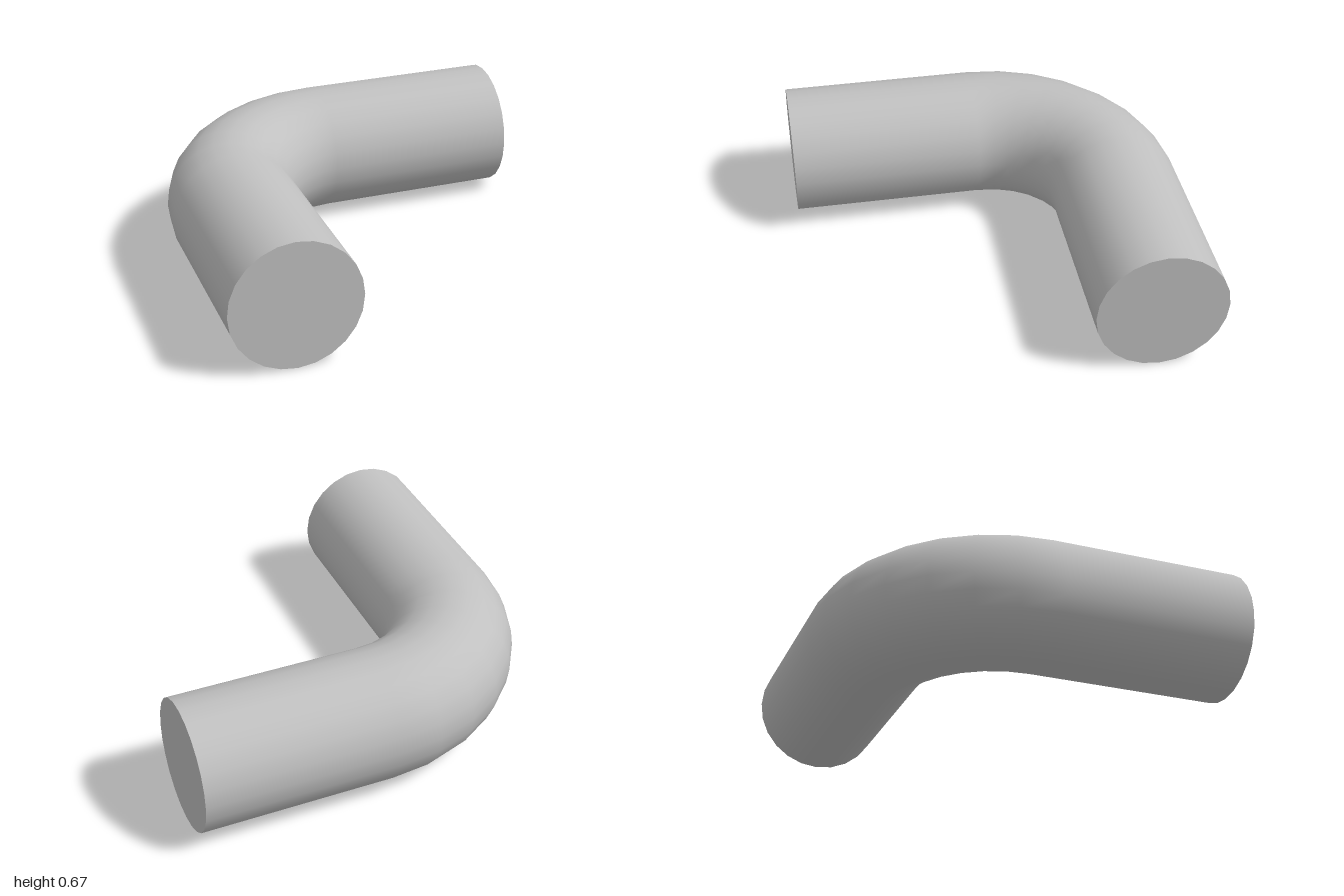
import * as THREE from 'three';

const TUBE = 0.333; // pipe radius
const BEND = 0.667; // centreline radius of the elbow
const SIDES = 24;

export function createModel() {
  const group = new THREE.Group();
  const grey = new THREE.MeshStandardMaterial({ color: 0xc0c0c0 });
  grey.name = 'pipeGrey';

  const add = (name, geometry, parent = group) => {
    const mesh = new THREE.Mesh(geometry, grey);
    mesh.name = name;
    parent.add(mesh);
    return mesh;
  };

  // Quarter-turn elbow around the origin, at the back right corner
  const elbow = new THREE.TorusGeometry(BEND, TUBE, SIDES, 7, Math.PI / 2);
  elbow.rotateX(-Math.PI / 2).rotateY(Math.PI / 2);
  add('elbow', elbow).position.y = TUBE;

  // Straight arm running along local +z, closed by a flat end cap
  const addArm = (name, x, z, turn) => {
    const arm = new THREE.Group();
    arm.name = name;
    const pipe = new THREE.CylinderGeometry(TUBE, TUBE, 1, SIDES, 1, true);
    pipe.rotateX(Math.PI / 2).translate(0, 0, 0.5);
    add(name + 'Pipe', pipe, arm);
    add(name + 'EndCap', new THREE.CircleGeometry(TUBE, SIDES), arm).position.z = 1;
    arm.position.set(x, TUBE, z);
    arm.rotation.y = turn;
    group.add(arm);
  };
  addArm('frontArm', -BEND, 0, 0);
  addArm('sideArm', 0, -BEND, Math.PI / 2);

  return group;
}
